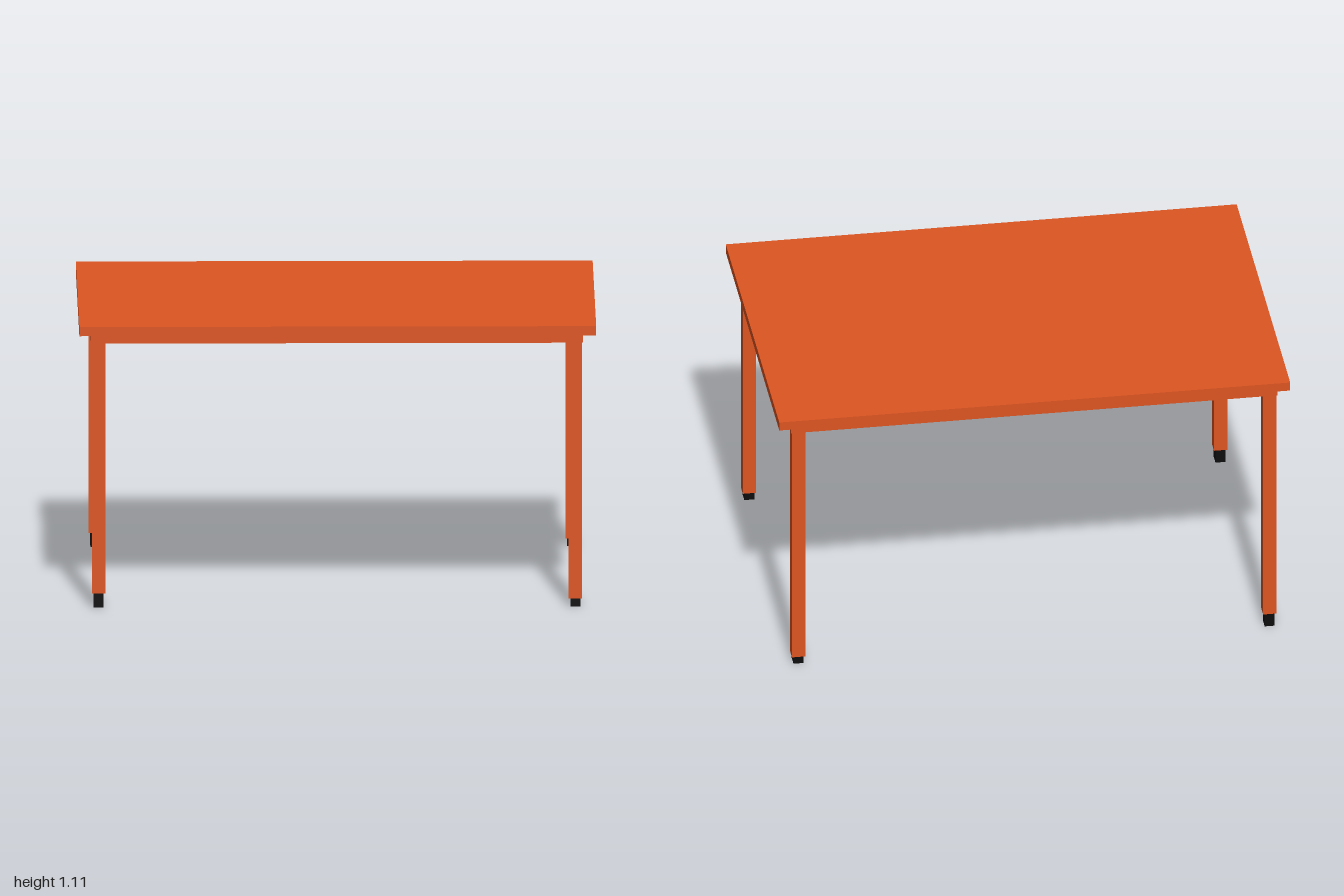
import * as THREE from 'three';

export function createModel() {
  const model = new THREE.Group();
  const orange = new THREE.MeshStandardMaterial({ color: 0xdd5522 });
  const black = new THREE.MeshStandardMaterial({ color: 0x0c0c0c });

  // Box given by its extents along each axis
  const box = (name, material, [x0, x1], [y0, y1], [z0, z1], parent = model) => {
    const mesh = new THREE.Mesh(new THREE.BoxGeometry(x1 - x0, y1 - y0, z1 - z0), material);
    mesh.position.set((x0 + x1) / 2, (y0 + y1) / 2, (z0 + z1) / 2);
    mesh.name = name;
    parent.add(mesh);
  };
  const around = (c, size) => [c - size / 2, c + size / 2];

  // Top board and the smaller slab beneath it
  box('tableTop', orange, [-1, 1], [1.074, 1.11], [-0.683, 0.683]);
  box('underSlab', orange, [-0.955, 0.95], [1.04, 1.074], [-0.655, 0.657]);

  // Square legs on feet; the feet on the right side are screwed out further
  const legs = [
    ['frontLeft', 0.92, 0.626, 0.031],
    ['backLeft', 0.92, -0.628, 0.031],
    ['frontRight', -0.925, 0.63, 0.056],
    ['backRight', -0.925, -0.625, 0.056],
  ];
  for (const [name, x, z, footHeight] of legs) {
    const group = new THREE.Group();
    group.name = name + 'Leg';
    box('leg', orange, around(x, 0.052), [footHeight, 1.04], around(z, 0.052), group);
    box('foot', black, around(x, 0.039), [0, footHeight], around(z, 0.045), group);
    model.add(group);
  }
  return model;
}
